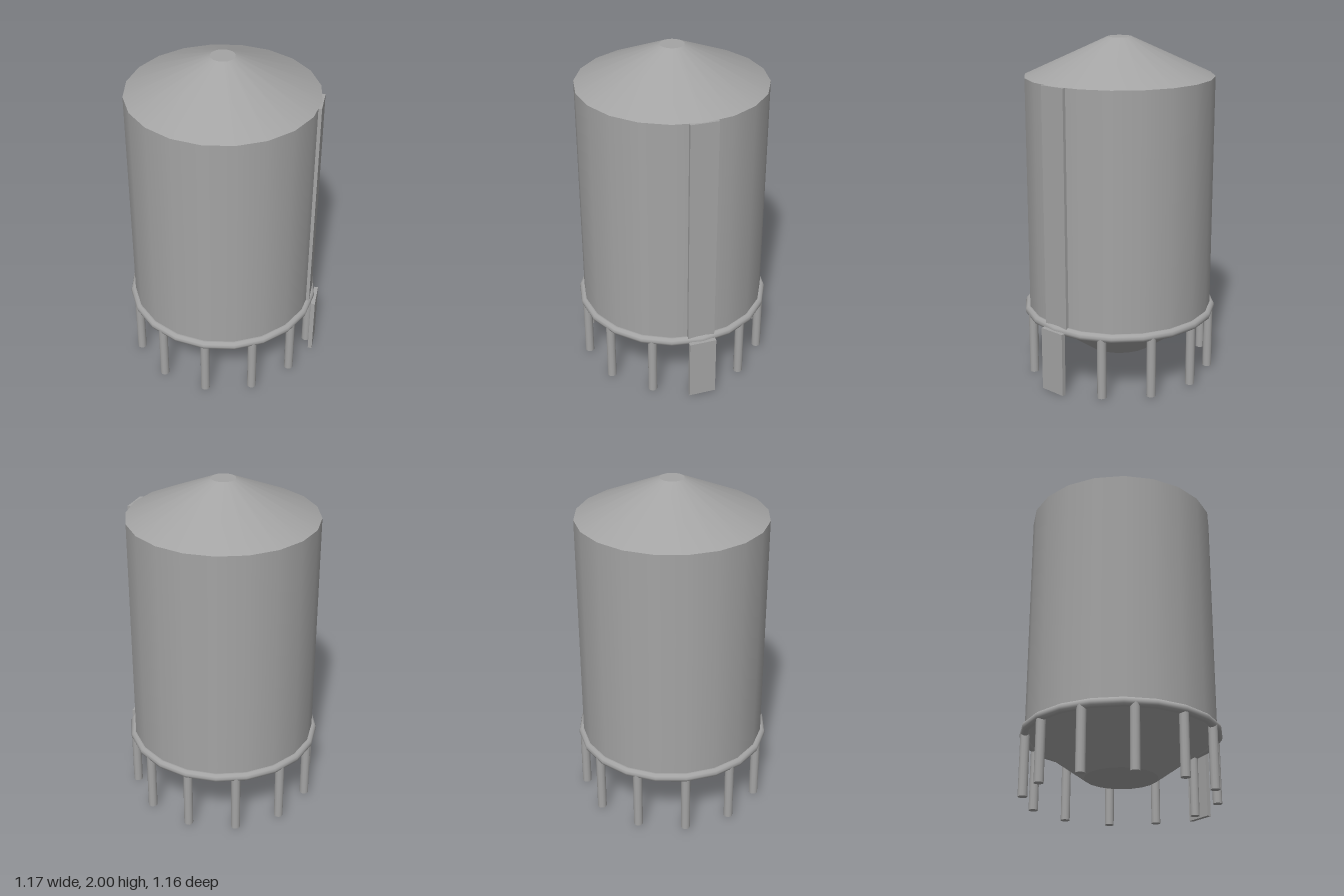
import * as THREE from 'three';

export function createModel() {
  const model = new THREE.Group();
  model.name = 'storageSilo';
  const steel = new THREE.MeshStandardMaterial({ color: 0xa4a4a4 });
  steel.name = 'grey steel';

  const SIDES = 20, RADIUS = 0.55;
  const RING_Y = 0.38, EAVE_Y = 1.78;

  // Everything round shares one axis, slightly off centre because of the panels
  const tank = new THREE.Group();
  tank.name = 'tank';
  tank.position.x = -0.01;
  model.add(tank);

  function add(parent, name, geometry, x, y, z) {
    const mesh = new THREE.Mesh(geometry, steel);
    mesh.name = name;
    mesh.position.set(x, y, z);
    parent.add(mesh);
    return mesh;
  }

  // Upright frustum from y0 to y1
  function frustum(parent, name, rTop, rBottom, y0, y1, sides, open, x = 0, z = 0) {
    const geometry = new THREE.CylinderGeometry(rTop, rBottom, y1 - y0, sides, 1, open);
    return add(parent, name, geometry, x, (y0 + y1) / 2, z);
  }

  // Shell, conical roof and hopper
  frustum(tank, 'shell', RADIUS, RADIUS, RING_Y, EAVE_Y, SIDES, true);
  frustum(tank, 'roof', 0.07, RADIUS, EAVE_Y, 2, SIDES, false);
  frustum(tank, 'hopper', RADIUS, 0.21, 0.135, RING_Y, SIDES, false);

  // Support ring
  const ring = new THREE.TorusGeometry(0.553, 0.026, 10, SIDES);
  ring.rotateX(Math.PI / 2);
  add(tank, 'supportRing', ring, 0, RING_Y, 0);

  // Legs under the ring
  const LEGS = 12;
  for (let i = 0; i < LEGS; i++) {
    const a = (i / LEGS) * Math.PI * 2;
    frustum(tank, 'leg', 0.027, 0.027, 0.01, RING_Y, 12, false,
      Math.cos(a) * 0.545, Math.sin(a) * 0.545);
  }

  // Flat service panels on the left side
  function panel(name, x0, x1, y0, y1) {
    add(model, name, new THREE.BoxGeometry(x1 - x0, y1 - y0, 0.16),
      (x0 + x1) / 2, (y0 + y1) / 2, 0);
  }
  panel('upperPanel', 0.523, 0.547, RING_Y, EAVE_Y);
  panel('lowerPanel', 0.56, 0.585, 0, RING_Y);

  return model;
}
